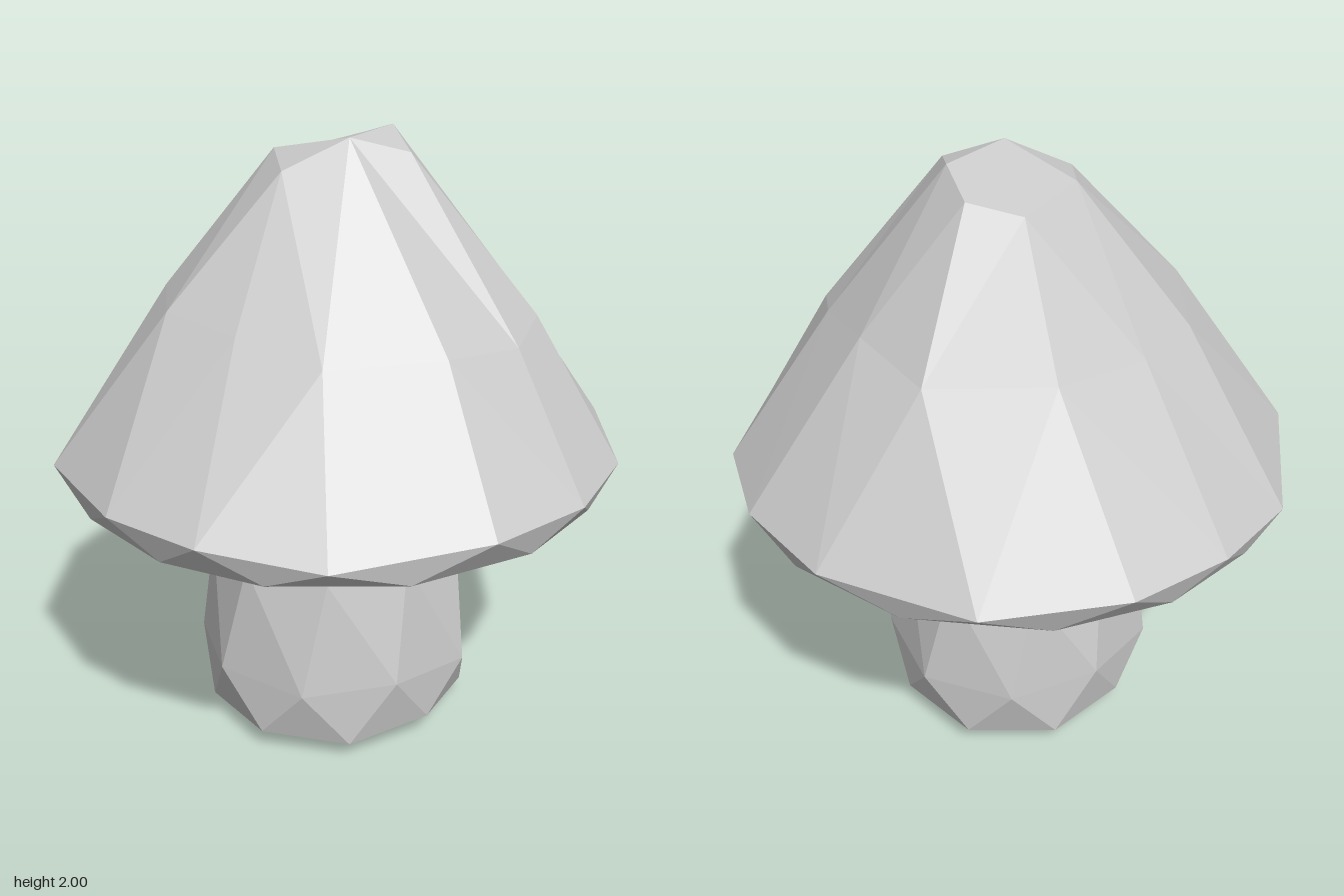
import * as THREE from 'three';

const TAU = Math.PI * 2;
const angleOf = (p) => (Math.atan2(p[0], p[2]) + TAU) % TAU;

// Even ring of n points; the radius and height vary slightly for a hand-cut look
function ring(n, y, r, phase = 0, rVary = 0, yVary = 0) {
  return Array.from({ length: n }, (_, i) => {
    const a = ((i + phase) / n) * TAU;
    const rr = r + rVary * Math.sin(i * 2.4 + 1);
    return [rr * Math.sin(a), y + yVary * Math.sin(i * 3.7), rr * Math.cos(a)];
  });
}

// Triangles between two rings that may have different point counts, lower ring first
function stitch(out, lower, upper) {
  const sorted = (r) => [...r].sort((a, b) => angleOf(a) - angleOf(b));
  const lo = sorted(lower), up = sorted(upper);
  const at = (r, i) => r[i % r.length];
  const ang = (r, i) => angleOf(at(r, i)) + TAU * Math.floor(i / r.length);
  let i = 0, j = 0;
  while (i < lo.length || j < up.length) {
    const stepLower = j >= up.length || (i < lo.length && ang(lo, i + 1) <= ang(up, j + 1));
    if (stepLower) {
      out.push(at(lo, i), at(lo, i + 1), at(up, j));
      i++;
    } else {
      out.push(at(lo, i), at(up, j + 1), at(up, j));
      j++;
    }
  }
}

// Flat end made as a fan from the first point of a ring
function fan(out, pts, down = false) {
  for (let i = 1; i < pts.length - 1; i++) {
    if (down) out.push(pts[0], pts[i + 1], pts[i]);
    else out.push(pts[0], pts[i], pts[i + 1]);
  }
}

function facetedMesh(name, triangles) {
  const geometry = new THREE.BufferGeometry();
  geometry.setAttribute('position', new THREE.Float32BufferAttribute(triangles.flat(), 3));
  geometry.computeVertexNormals();
  const material = new THREE.MeshStandardMaterial({
    color: 0xcccccc, flatShading: true, side: THREE.DoubleSide,
  });
  const mesh = new THREE.Mesh(geometry, material);
  mesh.name = name;
  return mesh;
}

export function createModel() {
  const group = new THREE.Group();
  group.name = 'mushroom';

  // Neck ring where the stem meets the cap
  const neck = ring(9, 0.82, 0.425, 0.25, 0.015);

  // Stem: chamfered foot, slight belly, narrow waist, flared neck
  const stemRings = [
    ring(9, 0, 0.32, 0.5, 0.01),
    ring(9, 0.075, 0.435, 0.5, 0.01, 0.015),
    ring(9, 0.27, 0.46, 0.0, 0.015, 0.02),
    ring(9, 0.66, 0.4, 0.25, 0.02, 0.02),
    neck,
  ];
  const stem = [];
  for (let i = 0; i < stemRings.length - 1; i++) stitch(stem, stemRings[i], stemRings[i + 1]);
  fan(stem, stemRings[0], true);
  group.add(facetedMesh('stem', stem));

  // Cap rim: the widest outline
  const rim = [
    [0.13, 1.02, 0.91], [0.44, 1.015, 0.8], [0.72, 0.98, 0.55], [0.91, 1.02, 0.11],
    [0.88, 1.01, -0.26], [0.71, 1.0, -0.59], [0.36, 1.01, -0.85], [0, 1.02, -0.92],
    [-0.36, 1.01, -0.85], [-0.76, 1.0, -0.54], [-0.92, 1.02, -0.13],
    [-0.88, 1.01, 0.22], [-0.73, 0.98, 0.55], [-0.31, 1.01, 0.87],
  ];
  // Lower edge points sit between neighbouring rim points
  const lowerEdge = rim.map((p, i) => {
    const q = rim[(i + 1) % rim.length];
    const x = (p[0] + q[0]) / 2, z = (p[2] + q[2]) / 2;
    const k = 0.865 / Math.hypot(x, z);
    return [x * k, 0.91, z * k];
  });
  const underside = ring(9, 0.88, 0.61, 0.6, 0.03);

  // Uneven ring halfway up the cap
  const middle = [
    [-0.07, 1.52, 0.57], [0.2, 1.5, 0.5], [0.46, 1.45, 0.38], [0.62, 1.46, 0.06],
    [0.58, 1.42, -0.25], [0.45, 1.45, -0.45], [0.25, 1.5, -0.52], [-0.05, 1.55, -0.54],
    [-0.33, 1.5, -0.48], [-0.54, 1.52, -0.16], [-0.5, 1.5, 0.16], [-0.38, 1.5, 0.4],
  ];
  // Tilted blunt tip
  const tip = [
    [0.11, 2, 0.03], [0.19, 1.95, -0.14], [0, 2, -0.22], [-0.17, 1.95, -0.25],
    [-0.26, 1.91, -0.11], [-0.16, 1.94, 0.12], [0.03, 1.91, 0.22],
  ];

  const capRings = [neck, underside, lowerEdge, rim, middle, tip];
  const cap = [];
  for (let i = 0; i < capRings.length - 1; i++) stitch(cap, capRings[i], capRings[i + 1]);
  fan(cap, tip);
  group.add(facetedMesh('cap', cap));

  return group;
}
